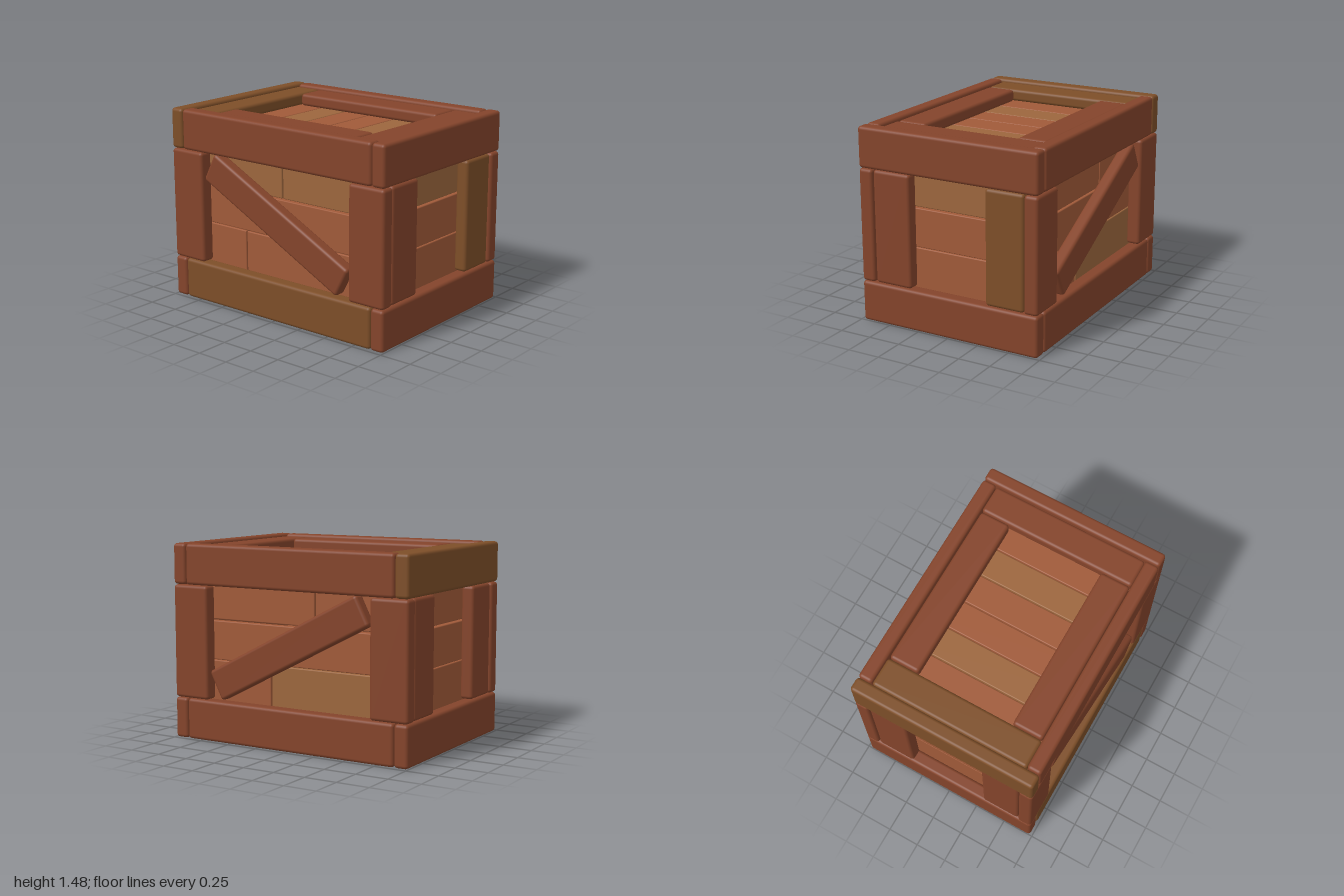
import * as THREE from 'three';
import { RoundedBoxGeometry } from 'three/addons/geometries/RoundedBoxGeometry.js';

const material = (color) => new THREE.MeshStandardMaterial({ color });

export function createModel() {
  const crate = new THREE.Group();
  crate.name = 'woodenCrate';

  const red = material(0x84442b);
  const gold = material(0x7d4e28);
  const plankRed = material(0xa05a39);
  const plankTan = material(0x9c663d);

  // Board with softened edges, given by its min and max on each axis
  function board(name, mat, [x0, x1], [y0, y1], [z0, z1], radius = 0.025) {
    const geo = new RoundedBoxGeometry(
      Math.abs(x1 - x0), Math.abs(y1 - y0), Math.abs(z1 - z0), 3, radius);
    const mesh = new THREE.Mesh(geo, mat);
    mesh.name = name;
    mesh.position.set((x0 + x1) / 2, (y0 + y1) / 2, (z0 + z1) / 2);
    crate.add(mesh);
    return mesh;
  }

  const W = 0.73, H = 1.48, D = 1;       // outer half width, height, half depth
  const IW = 0.62, ID = 0.89;            // inside of the outer frame
  const low = [0, 0.31], mid = [0.313, 1.17], high = [1.173, H];
  const rows = [[0.12, 0.603], [0.608, 0.903], [0.915, 1.36]];

  // Front and back: rails, uprights and horizontal planks
  for (const s of [1, -1]) {
    const end = s > 0 ? 'front' : 'back';
    board(end + 'BottomRail', red, [-W, W], low, [s * ID, s * D]);
    board(end + 'TopRail', s > 0 ? red : gold, [-W, W], high, [s * ID, s * D]);
    for (const t of [1, -1]) {
      const mat = s > 0 && t > 0 ? gold : red;
      board(end + 'Upright', mat, [t * 0.31, t * 0.615], mid, [s * ID, s * 0.99]);
    }
    rows.forEach((row, i) =>
      board(end + 'Plank', s > 0 && i === 2 ? plankTan : plankRed,
        [-0.6, 0.6], row, [s * 0.83, s * 0.885], 0.008));
  }

  // Left and right: rails, corner posts and diagonal brace
  for (const s of [1, -1]) {
    const side = s > 0 ? 'left' : 'right';
    const x = [s * IW, s * W];
    board(side + 'BottomRail', s > 0 ? red : gold, x, low, [-0.886, 0.886]);
    board(side + 'TopRail', red, x, high, [-0.886, 0.886]);
    for (const t of [1, -1]) board(side + 'CornerPost', red, x, mid, [t * 0.695, t * D]);

    const brace = board(side + 'Brace', red, [s * IW, s * 0.72], [0.63, 0.87], [-0.71, 0.71]);
    brace.rotation.x = Math.atan2(0.65, 1.26);
  }

  // Side planks: [row, z start, z end, material], some rows split in two
  const sidePlanks = {
    left: [
      [0, 0.2, 0.83, plankRed], [0, -0.83, 0.19, plankTan],
      [1, -0.83, 0.83, plankRed],
      [2, -0.18, 0.83, plankRed], [2, -0.83, -0.19, plankRed],
    ],
    right: [
      [0, -0.83, -0.36, plankRed], [0, -0.35, 0.83, plankRed],
      [1, -0.83, 0.83, plankRed],
      [2, -0.83, 0, plankTan], [2, 0.01, 0.83, plankTan],
    ],
  };
  for (const [side, planks] of Object.entries(sidePlanks)) {
    const s = side === 'left' ? 1 : -1;
    for (const [row, z0, z1, mat] of planks)
      board(side + 'Plank', mat, [s * 0.56, s * 0.615], rows[row], [z0, z1], 0.008);
  }

  // Lid and base: border boards with recessed cross planks
  const seams = [-0.83, -0.467, -0.23, 0.002, 0.24, 0.477, 0.83];
  for (const lid of [true, false]) {
    const name = lid ? 'lid' : 'base';
    const layer = (a, b) => (lid ? [H - b, H - a] : [a, b]); // depth below the outer face
    const border = layer(0.02, 0.115);
    for (const t of [1, -1]) {
      const goldEnd = lid ? t < 0 : t > 0;
      board(name + 'CrossBoard', goldEnd ? gold : red, [-IW, IW], border, [t * 0.66, t * 0.886]);
      board(name + 'LongBoard', red, [t * 0.38, t * 0.615], border, [-0.655, 0.655]);
    }
    for (let i = 0; i < 6; i++) {
      const mat = i === 1 || i === 4 ? plankTan : plankRed;
      board(name + 'Plank', mat, [-0.61, 0.61], layer(0.115, 0.17),
        [seams[i] + 0.004, seams[i + 1] - 0.004], 0.008);
    }
  }

  return crate;
}
